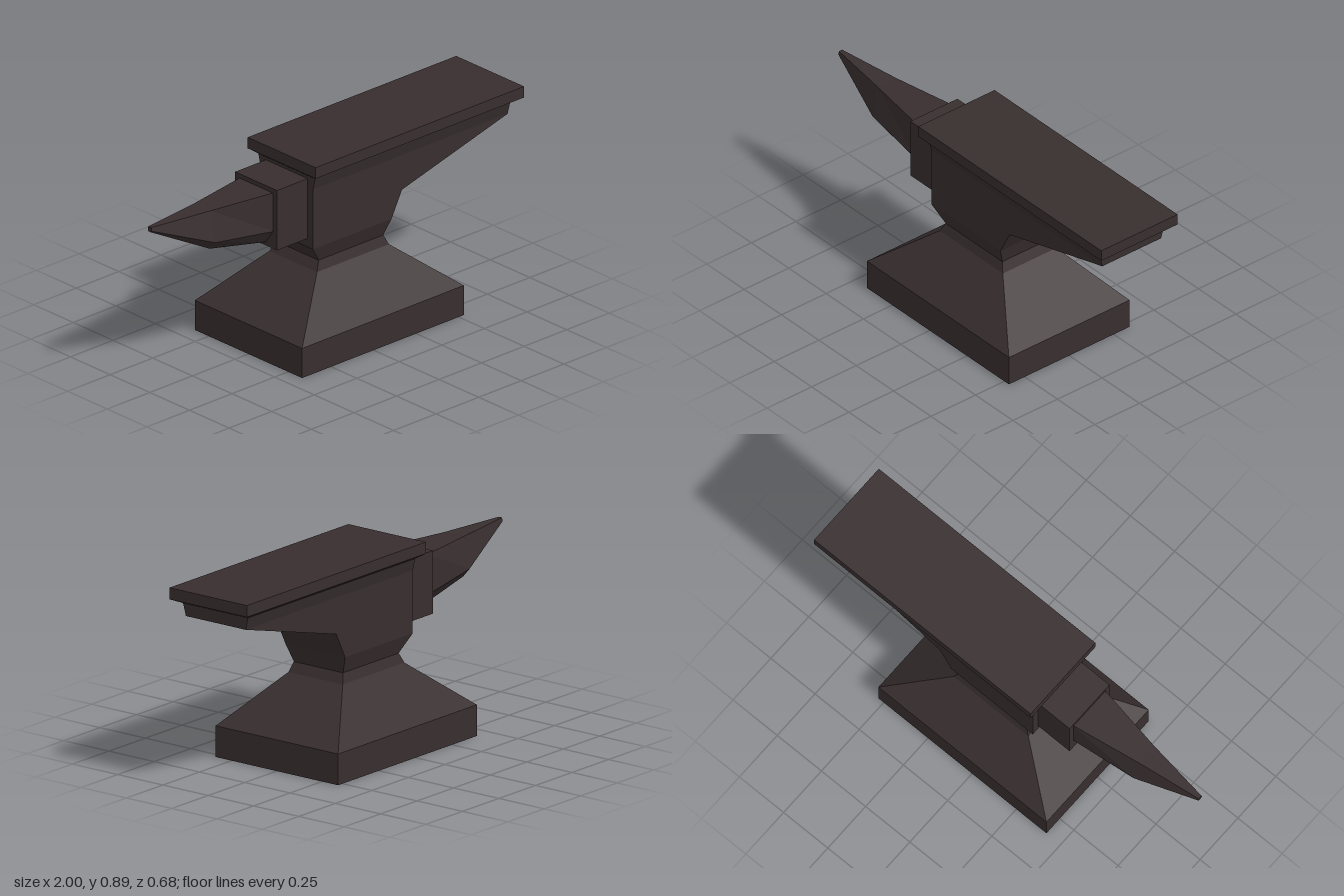
import * as THREE from 'three';

// Skin rings of points, each ordered anticlockwise seen from the far end.
function loft(rings, capStart, capEnd) {
  const pos = [];
  const tri = (...pts) => pts.forEach((p) => pos.push(...p));
  const n = rings[0].length;
  for (let r = 0; r < rings.length - 1; r++) {
    const a = rings[r], b = rings[r + 1];
    for (let i = 0; i < n; i++) {
      const j = (i + 1) % n;
      tri(a[i], a[j], b[j]);
      tri(a[i], b[j], b[i]);
    }
  }
  const first = rings[0], last = rings[rings.length - 1];
  for (let i = 1; i < n - 1; i++) {
    if (capStart) tri(first[0], first[i + 1], first[i]);
    if (capEnd) tri(last[0], last[i], last[i + 1]);
  }
  const geo = new THREE.BufferGeometry();
  geo.setAttribute('position', new THREE.Float32BufferAttribute(pos, 3));
  geo.computeVertexNormals();
  return geo;
}

// Horizontal rectangle: height, left and right x, half depth
const slab = ([y, x0, x1, d]) => [[x0, y, d], [x1, y, d], [x1, y, -d], [x0, y, -d]];

// Upright hexagon: x, then height and half width at bottom, middle and top
const hexagon = ([x, yb, wb, ym, wm, yt, wt]) => [
  [x, yb, -wb], [x, yb, wb], [x, ym, wm], [x, yt, wt], [x, yt, -wt], [x, ym, -wm],
];

export function createModel() {
  const group = new THREE.Group();
  const iron = new THREE.MeshStandardMaterial({ color: 0x382e2f });
  iron.name = 'darkIron';
  iron.flatShading = true;

  const add = (name, geo) => {
    const mesh = new THREE.Mesh(geo, iron);
    mesh.name = name;
    group.add(mesh);
    return mesh;
  };

  // Joints between the stacked parts
  const footTop = [0.14, -0.42, 0.53, 0.338];
  const waist = [0.4, -0.135, 0.245, 0.136];
  const bodyTop = [0.818, -0.195, 0.95, 0.179];

  // Foot block
  add('foot', loft([[0, -0.42, 0.53, 0.338], footTop].map(slab), true, false));

  // Sloping pedestal up to the waist
  add('pedestal', loft([footTop, [0.355, -0.157, 0.265, 0.15], waist].map(slab), false, false));

  // Body flaring out into the heel
  add('body', loft([
    waist,
    [0.48, -0.195, 0.267, 0.165],
    [0.598, -0.195, 0.328, 0.165],
    [0.762, -0.195, 0.948, 0.165],
    bodyTop,
  ].map(slab), false, false));

  // Face plate with chamfered underside
  add('facePlate', loft([
    bodyTop,
    [0.84, -0.225, 1.0, 0.214],
    [0.892, -0.225, 1.0, 0.214],
  ].map(slab), false, true));

  // Step between body and horn
  add('step', new THREE.BoxGeometry(0.18, 0.283, 0.264)).position.set(-0.285, 0.662, 0);

  // Tapered horn
  add('horn', loft([
    [-0.37, 0.535, 0.06, 0.6, 0.106, 0.783, 0.106],
    [-0.69, 0.598, 0.045, 0.638, 0.08, 0.78, 0.052],
    [-1.0, 0.76, 0.007, 0.767, 0.012, 0.783, 0.009],
  ].map(hexagon), false, true));

  return group;
}
